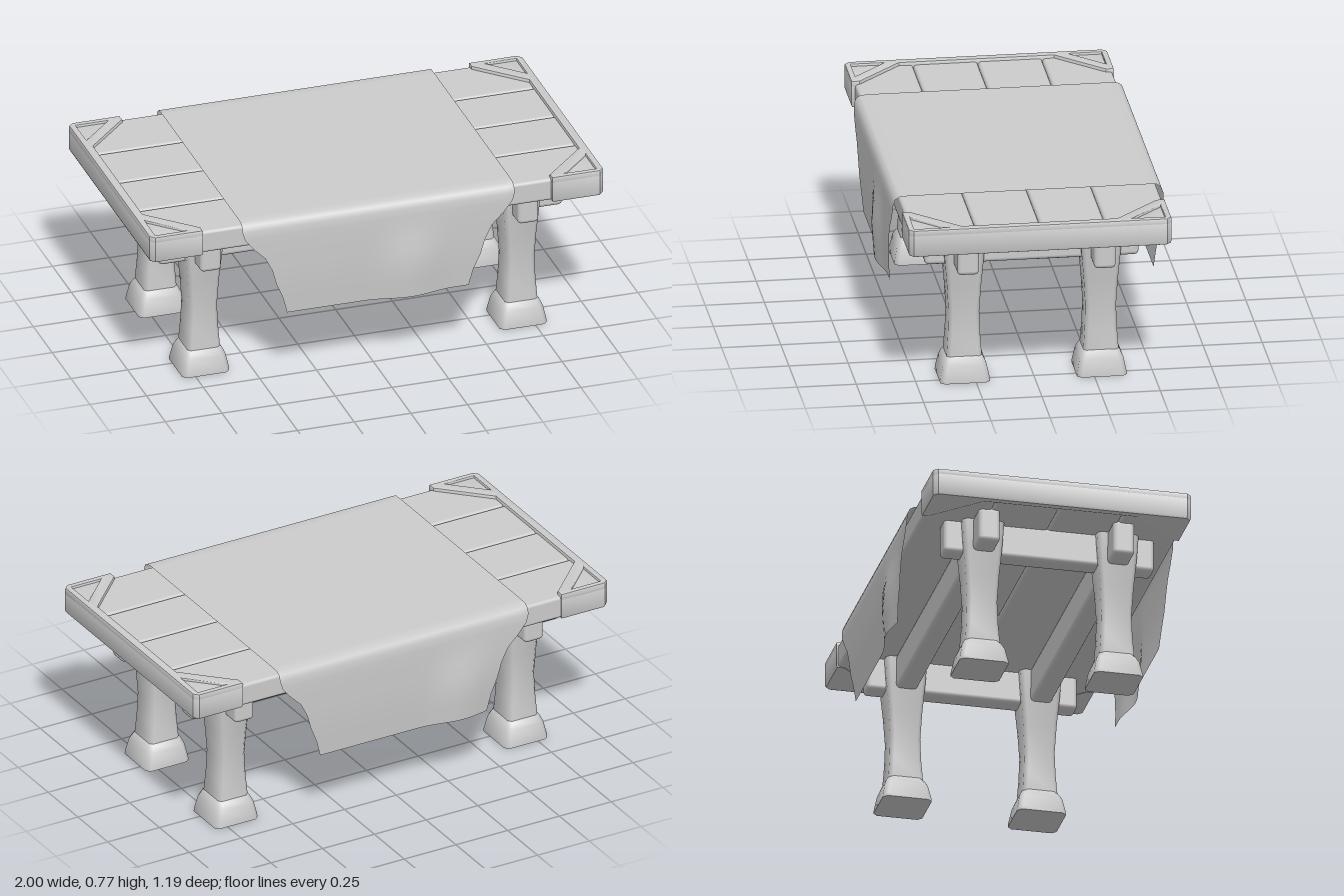
import * as THREE from 'three';
import { toCreasedNormals } from 'three/addons/utils/BufferGeometryUtils.js';
import { RoundedBoxGeometry } from 'three/addons/geometries/RoundedBoxGeometry.js';

const grey = new THREE.MeshStandardMaterial({ color: 0xcccccc });
const clothMaterial = new THREE.MeshStandardMaterial({ color: 0xcccccc, side: THREE.DoubleSide });

function add(parent, name, geometry, x = 0, y = 0, z = 0, material = grey) {
  const mesh = new THREE.Mesh(geometry, material);
  mesh.name = name;
  mesh.position.set(x, y, z);
  parent.add(mesh);
  return mesh;
}

const roundedBox = (w, h, d, r) => new RoundedBoxGeometry(w, h, d, 2, r);

// Closed loft of chamfered rectangles; each section is [y, half width x, half width z]
function loft(sections, chamfer) {
  const pos = [];
  const rings = sections.map(([y, a, b]) => {
    const c = chamfer;
    return [[a, b - c], [a - c, b], [c - a, b], [-a, b - c], [-a, c - b], [c - a, -b], [a - c, -b], [a, c - b]]
      .map(([x, z]) => [x, y, z]);
  });
  const tri = (...points) => points.forEach((p) => pos.push(...p));
  for (let i = 0; i < rings.length - 1; i++) {
    for (let j = 0; j < 8; j++) {
      const k = (j + 1) % 8;
      const [a, b, c, d] = [rings[i][j], rings[i][k], rings[i + 1][k], rings[i + 1][j]];
      tri(a, c, b, a, d, c);
    }
  }
  const top = rings[rings.length - 1];
  for (let j = 1; j < 7; j++) {
    tri(rings[0][0], rings[0][j], rings[0][j + 1]);
    tri(top[0], top[j + 1], top[j]);
  }
  const geometry = new THREE.BufferGeometry();
  geometry.setAttribute('position', new THREE.Float32BufferAttribute(pos, 3));
  return toCreasedNormals(geometry, 0.9);
}

// Horizontal slab with bevelled edges, outline given as [x, z]
function slab(outline, holes, bottom, top, bevel) {
  const toPoints = (list) => list.map(([x, z]) => new THREE.Vector2(x, z));
  const shape = new THREE.Shape(toPoints(outline));
  shape.holes = holes.map((h) => new THREE.Path(toPoints(h)));
  const geometry = new THREE.ExtrudeGeometry(shape, {
    depth: top - bottom - 2 * bevel, bevelThickness: bevel, bevelSize: bevel, bevelOffset: -bevel, bevelSegments: 2,
  });
  geometry.rotateX(Math.PI / 2).translate(0, top - bevel, 0);
  return toCreasedNormals(geometry, 0.7);
}

// Cloth laid over the top and hanging down front and back
function clothGeometry() {
  // [z, y, half width, amount of fold]
  const side = [[0.562, 0.325, 0.4, 1], [0.568, 0.4, 0.42, 1], [0.573, 0.47, 0.45, 1], [0.575, 0.54, 0.47, 0.7],
    [0.575, 0.6, 0.5, 0.35], [0.575, 0.65, 0.55, 0.12], [0.575, 0.7, 0.59, 0], [0.573, 0.735, 0.6, 0],
    [0.564, 0.76, 0.6, 0], [0.545, 0.772, 0.6, 0], [0.5, 0.774, 0.6, 0]];
  const rows = [
    ...side.map((r) => [-r[0] + 0.005, r[1], r[2], r[3], -1]),
    ...[...side].reverse().map((r) => [...r, 1]),
  ];
  const columns = 32;
  const geometry = new THREE.PlaneGeometry(1, 1, columns, rows.length - 1);
  const p = geometry.attributes.position;
  for (let i = 0; i < p.count; i++) {
    const [z, y, half, amount, dir] = rows[Math.floor(i / (columns + 1))];
    const x = p.getX(i) * 2 * half;
    const d = Math.abs(x - (dir > 0 ? 0.14 : -0.28));
    const fold = d < 0.2 ? 0.012 + 0.014 * Math.cos(d * Math.PI / 0.2) : -0.002;
    p.setXYZ(i, x, y, z + dir * amount * fold);
  }
  geometry.computeVertexNormals();
  return geometry;
}

export function createModel() {
  const table = new THREE.Group();
  table.name = 'table';

  // Four planks
  const width = 0.2725;
  for (let i = 0; i < 4; i++) {
    add(table, 'plank', roundedBox(1.95, 0.1, width - 0.002, 0.014), 0, 0.705, (i - 1.5) * width);
  }

  // End caps with corner brackets and recessed triangles
  const half = [[1, 0.535], [0.98, 0.555], [0.77, 0.555], [0.77, 0.52], [0.962, 0.328]];
  const outline = [...half, ...[...half].reverse().map(([x, z]) => [x, -z])];
  const hole = [[0.972, 0.53], [0.83, 0.53], [0.972, 0.388]];
  const holes = [hole, hole.map(([x, z]) => [x, -z])];
  for (const turn of [0, Math.PI]) {
    const cap = new THREE.Group();
    cap.name = 'endCap';
    cap.position.z = 0.005;
    cap.rotation.y = turn;
    add(cap, 'capBody', slab(outline, [], 0.65, 0.758, 0.012));
    add(cap, 'capRim', slab(outline, holes, 0.735, 0.77, 0.006));
    table.add(cap);
  }

  // Legs and feet
  const legSections = [[0.1, 0.073, 0.075], [0.2, 0.066, 0.068], [0.3, 0.062, 0.065],
    [0.42, 0.069, 0.072], [0.55, 0.08, 0.083], [0.66, 0.088, 0.09]];
  const footSections = [[0, 0.104, 0.105], [0.015, 0.103, 0.104], [0.075, 0.091, 0.092], [0.1, 0.08, 0.081], [0.113, 0.07, 0.071]];
  const legZ = [0.295, -0.283];
  for (const x of [-0.7, 0.7]) {
    for (const z of legZ) {
      add(table, 'leg', loft(legSections, 0.016), x, 0, z);
      add(table, 'foot', loft(footSections, 0.018), x, 0, z);
    }
    // Cross beam through the front and back legs
    add(table, 'crossBeam', roundedBox(0.092, 0.15, 0.905, 0.018), x, 0.59, 0.007);
  }

  // Long beams through the left and right legs
  for (const z of legZ) add(table, 'longBeam', roundedBox(1.78, 0.15, 0.092, 0.018), 0, 0.59, z);

  add(table, 'cloth', clothGeometry(), 0, 0, 0, clothMaterial);
  return table;
}
